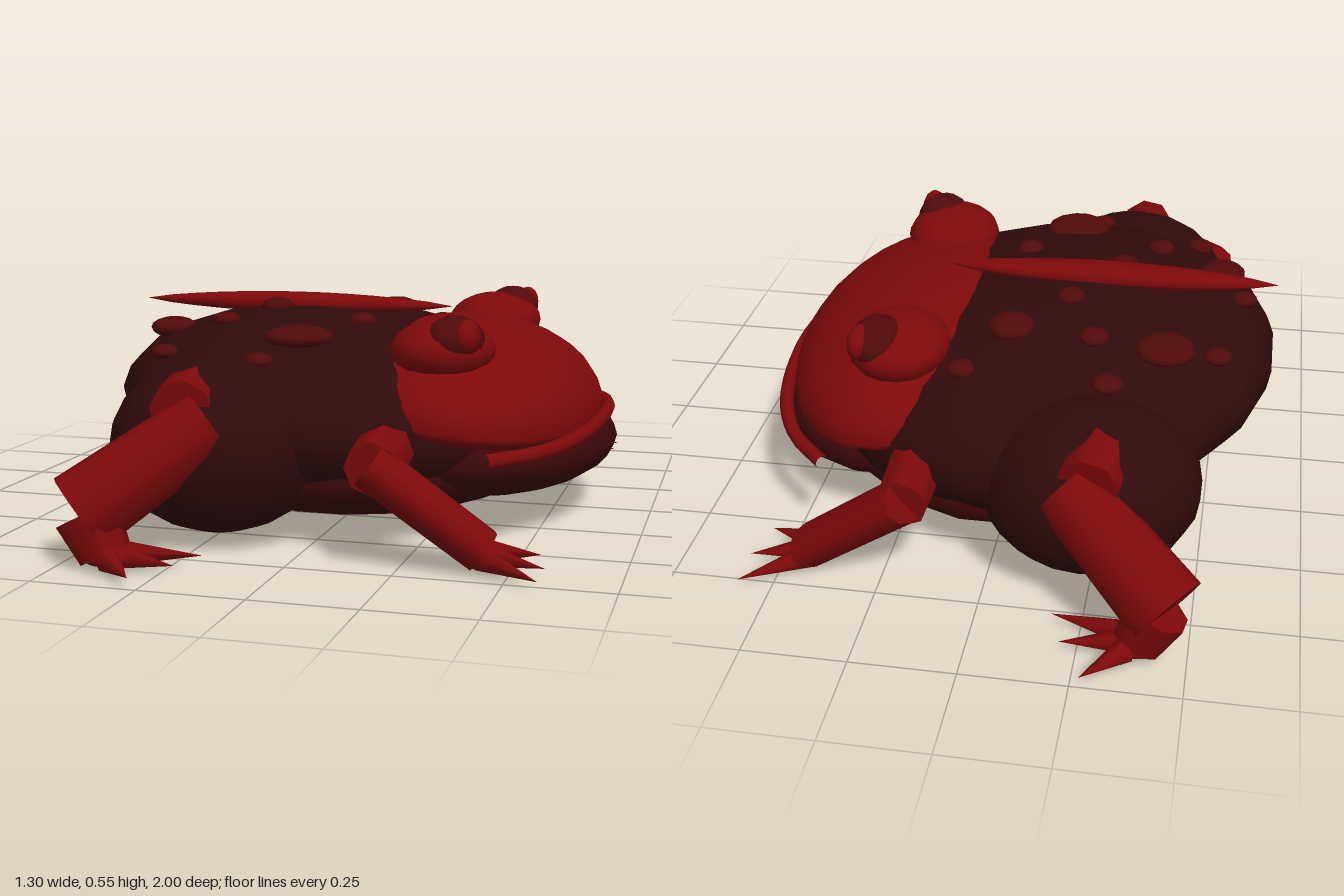
import * as THREE from 'three';

const mat = (name, color) => {
  const m = new THREE.MeshStandardMaterial({ color });
  m.name = name;
  return m;
};

export function createModel() {
  const red = mat('bright red skin', 0x7e090a);
  const dark = mat('dark maroon skin', 0x300a0a);
  const belly = mat('underside maroon', 0x3a0707);
  const wine = mat('wart and iris wine', 0x510a0b);

  const model = new THREE.Group();
  model.name = 'frog';

  const add = (name, geo, material, parent = model) => {
    const mesh = new THREE.Mesh(geo, material);
    mesh.name = name;
    parent.add(mesh);
    return mesh;
  };

  // Ellipsoid from centre and radii
  const blob = (name, material, c, r, parent, seg = 20, rings = 14) => {
    const geo = new THREE.SphereGeometry(1, seg, rings);
    geo.rotateY(Math.PI / seg);
    const mesh = add(name, geo, material, parent);
    mesh.position.set(...c);
    mesh.scale.set(...r);
    return mesh;
  };

  // Tapered limb between two points; flat squeezes it across
  const limb = (name, material, a, b, ra, rb, parent, flat = 1, seg = 10) => {
    const p = new THREE.Vector3(...a), q = new THREE.Vector3(...b);
    const dir = q.clone().sub(p);
    const mesh = add(name, new THREE.CylinderGeometry(rb, ra, dir.length(), seg), material, parent);
    mesh.position.copy(p).add(q).multiplyScalar(0.5);
    mesh.quaternion.setFromUnitVectors(new THREE.Vector3(0, 1, 0), dir.normalize());
    mesh.scale.x = flat;
    return mesh;
  };

  // Trunk (rump raised), belly and lower jaw
  const B = { x: -0.06, y: 0.281, a: 0.597, b: 0.24, c: 0.67, tilt: -0.09 };
  blob('body', dark, [B.x, B.y, 0], [B.a, B.b, B.c]).rotation.z = B.tilt;
  blob('belly', belly, [0, 0.163, 0], [0.5, 0.153, 0.61]);
  blob('lowerJaw', belly, [0.32, 0.193, 0], [0.334, 0.128, 0.49]);

  // Upper head: ellipsoid with a shallow underside, nose tipped down
  const headGeo = new THREE.SphereGeometry(1, 24, 16);
  const hp = headGeo.attributes.position;
  for (let i = 0; i < hp.count; i++) if (hp.getY(i) < 0) hp.setY(i, hp.getY(i) * 0.4);
  headGeo.scale(0.332, 0.208, 0.56);
  headGeo.computeVertexNormals();
  const head = add('head', headGeo, red);
  head.position.set(0.283, 0.296, 0);
  head.rotation.z = -0.14;

  // Lip running round the mouth
  const lip = [[0.42, 0.235, 0.555], [0.52, 0.24, 0.45], [0.59, 0.25, 0.29], [0.625, 0.262, 0]];
  const lipPath = [...lip, ...lip.slice(0, 3).reverse().map(([x, y, z]) => [x, y, -z])];
  const lipCurve = new THREE.CatmullRomCurve3(lipPath.map((p) => new THREE.Vector3(...p)));
  add('lip', new THREE.TubeGeometry(lipCurve, 32, 0.018, 8), red);

  // Spindle ridge along the back
  const profile = [];
  for (let i = 0; i <= 12; i++) {
    const t = i / 12;
    profile.push(new THREE.Vector2(i % 12 ? Math.pow(Math.sin(Math.PI * t), 0.7) : 0, t - 0.5));
  }
  const ridge = add('backRidge', new THREE.LatheGeometry(profile, 10), red);
  ridge.rotation.z = -Math.PI / 2;
  ridge.scale.set(0.028, 0.87, 0.055);
  ridge.position.set(-0.215, 0.528, 0);

  // Warts scattered on the back: x, z, radius
  const warts = [
    [-0.385, -0.3, 0.075], [-0.26, -0.45, 0.038], [-0.21, -0.3, 0.038], [-0.51, -0.26, 0.035],
    [-0.13, -0.13, 0.036], [0, -0.265, 0.06], [0.1, -0.41, 0.036], [-0.245, 0.065, 0.042],
    [-0.5, 0.17, 0.062], [-0.33, 0.23, 0.037], [0.02, 0.17, 0.037], [-0.085, 0.37, 0.088],
    [-0.14, 0.51, 0.036], [-0.43, 0.4, 0.036], [-0.565, 0.055, 0.034],
  ];
  for (const [x, z, r] of warts) {
    const h = 1 - ((x - B.x) / B.a) ** 2 - (z / B.c) ** 2;
    const y = B.y + B.b * Math.sqrt(Math.max(h, 0)) + B.tilt * (x - B.x);
    blob('wart', wine, [x, y, z], [r, Math.min(0.55 * r, 0.028), r], model, 12, 8);
  }

  for (const s of [1, -1]) {
    const side = new THREE.Group();
    side.name = s > 0 ? 'nearSide' : 'farSide';
    model.add(side);
    const at = (x, y, z) => [x, y, z * s];

    // Eye
    blob('eyeMound', red, at(0.27, 0.46, 0.335), [0.127, 0.076, 0.147], side, 16, 12);
    blob('eyeball', wine, at(0.31, 0.49, 0.385), [0.072, 0.06, 0.085], side, 14, 10);
    blob('pupil', red, at(0.347, 0.503, 0.42), [0.03, 0.042, 0.055], side, 12, 8);

    // Front leg
    limb('upperArm', red, at(0.18, 0.265, 0.42), at(0.19, 0.235, 0.7), 0.075, 0.064, side, 1, 8);
    limb('forearm', red, at(0.18, 0.243, 0.685), at(0.435, 0.052, 0.645), 0.09, 0.085, side, 0.62);
    blob('hand', red, at(0.43, 0.045, 0.645), [0.045, 0.025, 0.07], side, 10, 8);
    for (const [x, z] of [[0.58, 0.78], [0.58, 0.675], [0.555, 0.565]])
      limb('frontToe', red, at(0.43, 0.045, 0.645 + (z - 0.67) * 0.3), at(x, 0.03, z), 0.03, 0, side, 1, 7);

    // Hind leg
    blob('thigh', dark, at(-0.235, 0.24, 0.535), [0.268, 0.212, 0.242], side, 18, 12);
    limb('knee', red, at(-0.275, 0.37, 0.56), at(-0.25, 0.35, 0.73), 0.075, 0.075, side, 1, 8);
    limb('shin', red, at(-0.2, 0.32, 0.695), at(-0.45, 0.13, 0.857), 0.083, 0.097, side);
    limb('ankle', red, at(-0.43, 0.13, 0.855), at(-0.385, 0.04, 0.86), 0.075, 0.06, side, 1, 8);
    blob('foot', red, at(-0.375, 0.04, 0.86), [0.07, 0.025, 0.06], side, 10, 8);
    for (const [x, z] of [[-0.27, 0.998], [-0.21, 0.885], [-0.18, 0.79]])
      limb('hindToe', red, at(-0.36, 0.04, 0.865 + (z - 0.88) * 0.3), at(x, 0.034, z), 0.03, 0, side, 1, 7);
  }
  return model;
}
